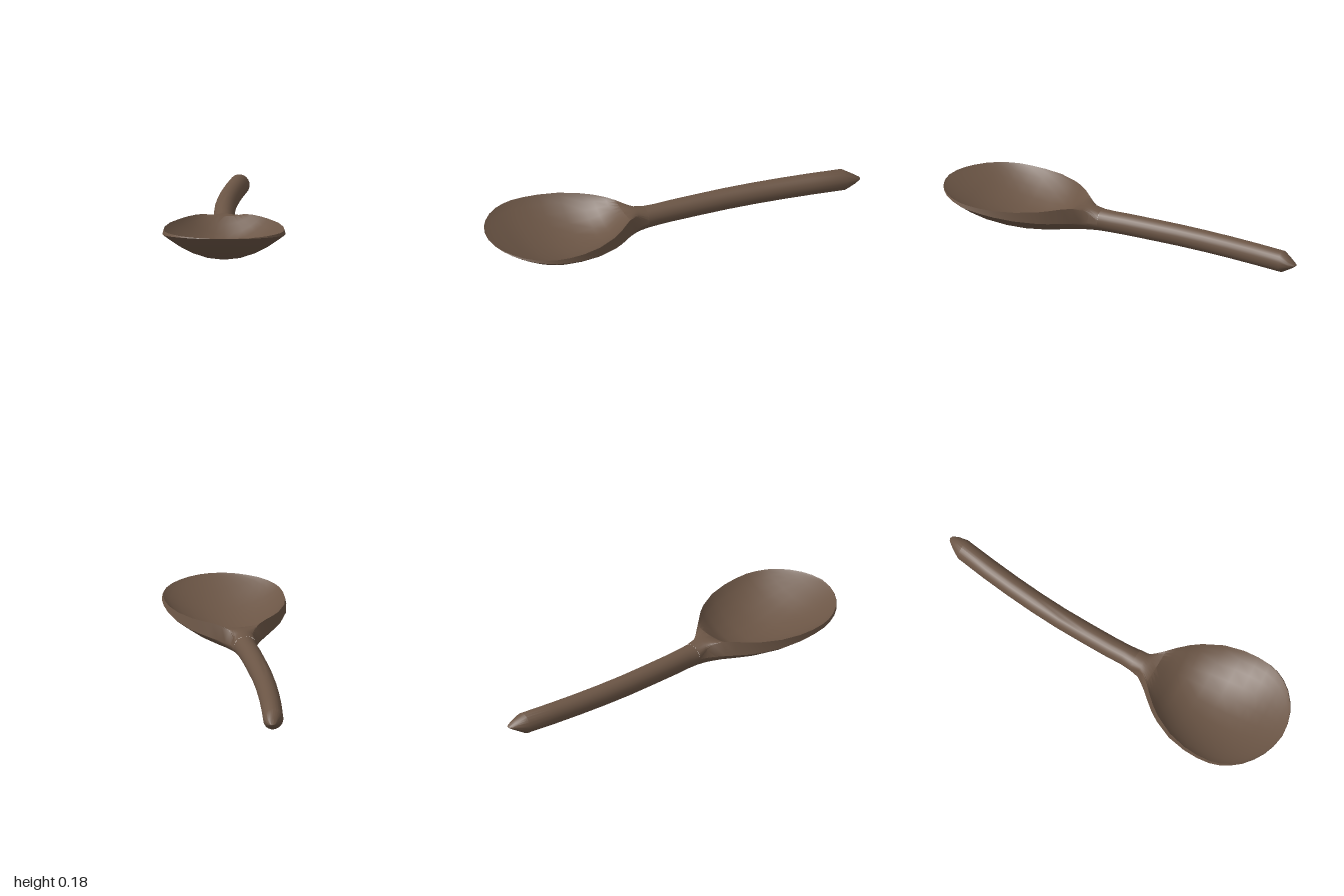
import * as THREE from 'three';
import { toCreasedNormals } from 'three/addons/utils/BufferGeometryUtils.js';

const HALF = 12; // segments across the underside, and again across the top

// One closed cross-section: curved underside, rim edge, then the top surface
function ring({ z, cx = 0, w, low, bottom, inset = 0, top, depth, q, qTop = q }) {
  const pts = [];
  for (let i = 0; i <= HALF; i++) {
    const t = (Math.PI * i) / HALF;
    const s = Math.max(0, Math.sin(t));
    pts.push([cx + w * Math.cos(t), low - (low - bottom) * s ** (2 * q), z]);
  }
  for (let i = HALF; i >= 0; i--) {
    const t = (Math.PI * i) / HALF;
    const s = Math.max(0, Math.sin(t));
    pts.push([cx + (w - inset) * Math.cos(t), top - depth * s ** (2 * qTop), z]);
  }
  return pts;
}

// Skins a list of cross-sections ordered by rising z
function loft(stations) {
  const rings = stations.map(ring);
  const n = rings[0].length;
  const index = [];
  for (let i = 0; i < rings.length - 1; i++) {
    for (let j = 0; j < n; j++) {
      const a = i * n + j, b = i * n + ((j + 1) % n);
      index.push(a, a + n, b, b, a + n, b + n);
    }
  }
  const g = new THREE.BufferGeometry();
  g.setAttribute('position', new THREE.Float32BufferAttribute(rings.flat(2), 3));
  g.setIndex(index);
  return toCreasedNormals(g, 0.55);
}

export function createModel() {
  const wood = new THREE.MeshStandardMaterial({ color: 0x6b5545 });
  wood.name = 'brown wood';
  const spoon = new THREE.Group();
  spoon.name = 'spoon';
  const add = (name, stations) => {
    const mesh = new THREE.Mesh(loft(stations), wood);
    mesh.name = name;
    spoon.add(mesh);
  };

  // Handle: round sections [z, centre x, half width, half height], bending to one side
  const round = ([z, cx, w, h]) =>
    ({ z, cx, w, low: 0.097, bottom: 0.097 - h, top: 0.097, depth: -h, q: 0.5 });
  add('handle', [
    [-1, 0.092, 0, 0], [-0.995, 0.092, 0.014, 0.005], [-0.965, 0.086, 0.032, 0.025],
    [-0.915, 0.073, 0.052, 0.055], [-0.75, 0.048, 0.053, 0.055], [-0.6, 0.029, 0.053, 0.055],
    [-0.45, 0.014, 0.053, 0.055], [-0.3, 0.004, 0.053, 0.055], [-0.15, 0, 0.053, 0.055],
    [0, -0.002, 0.053, 0.055], [0.08, 0, 0.053, 0.055], [0.14, 0, 0.058, 0.056],
  ].map(round));

  // Bowl: [z, half width, lower rim y, bottom y, rim inset, upper rim y, hollow depth, roundness]
  add('bowl', [
    [0.14, 0.058, 0.097, 0.041, 0, 0.097, -0.056, 0.5],
    [0.19, 0.068, 0.092, 0.038, 0.015, 0.13, -0.03, 0.55],
    [0.22, 0.088, 0.093, 0.036, 0.022, 0.155, -0.008, 0.65],
    [0.26, 0.12, 0.097, 0.033, 0.022, 0.17, 0.012, 0.8],
    [0.3, 0.157, 0.102, 0.027, 0.018, 0.175, 0.05, 0.9],
    [0.35, 0.2, 0.108, 0.019, 0.014, 0.174, 0.092, 1],
    [0.4, 0.234, 0.114, 0.012, 0.011, 0.172, 0.117, 1],
    [0.5, 0.282, 0.126, 0.004, 0.008, 0.171, 0.135, 1],
    [0.6, 0.305, 0.137, 0.005, 0.006, 0.17, 0.132, 1],
    [0.68, 0.311, 0.146, 0.014, 0.006, 0.171, 0.12, 1],
    [0.75, 0.306, 0.153, 0.034, 0.006, 0.173, 0.102, 1],
    [0.8, 0.292, 0.159, 0.054, 0.006, 0.174, 0.087, 1],
    [0.85, 0.267, 0.164, 0.08, 0.006, 0.176, 0.067, 1],
    [0.9, 0.228, 0.169, 0.109, 0.005, 0.177, 0.046, 1],
    [0.94, 0.18, 0.173, 0.135, 0.005, 0.178, 0.028, 1],
    [0.97, 0.128, 0.176, 0.156, 0.004, 0.179, 0.014, 1],
    [0.99, 0.07, 0.178, 0.171, 0.003, 0.18, 0.005, 1],
    [1, 0, 0.18, 0.18, 0, 0.18, 0, 1],
  ].map(([z, w, low, bottom, inset, top, depth, q]) =>
    ({ z, w, low, bottom, inset, top, depth, q, qTop: q * 0.87 })));

  return spoon;
}
